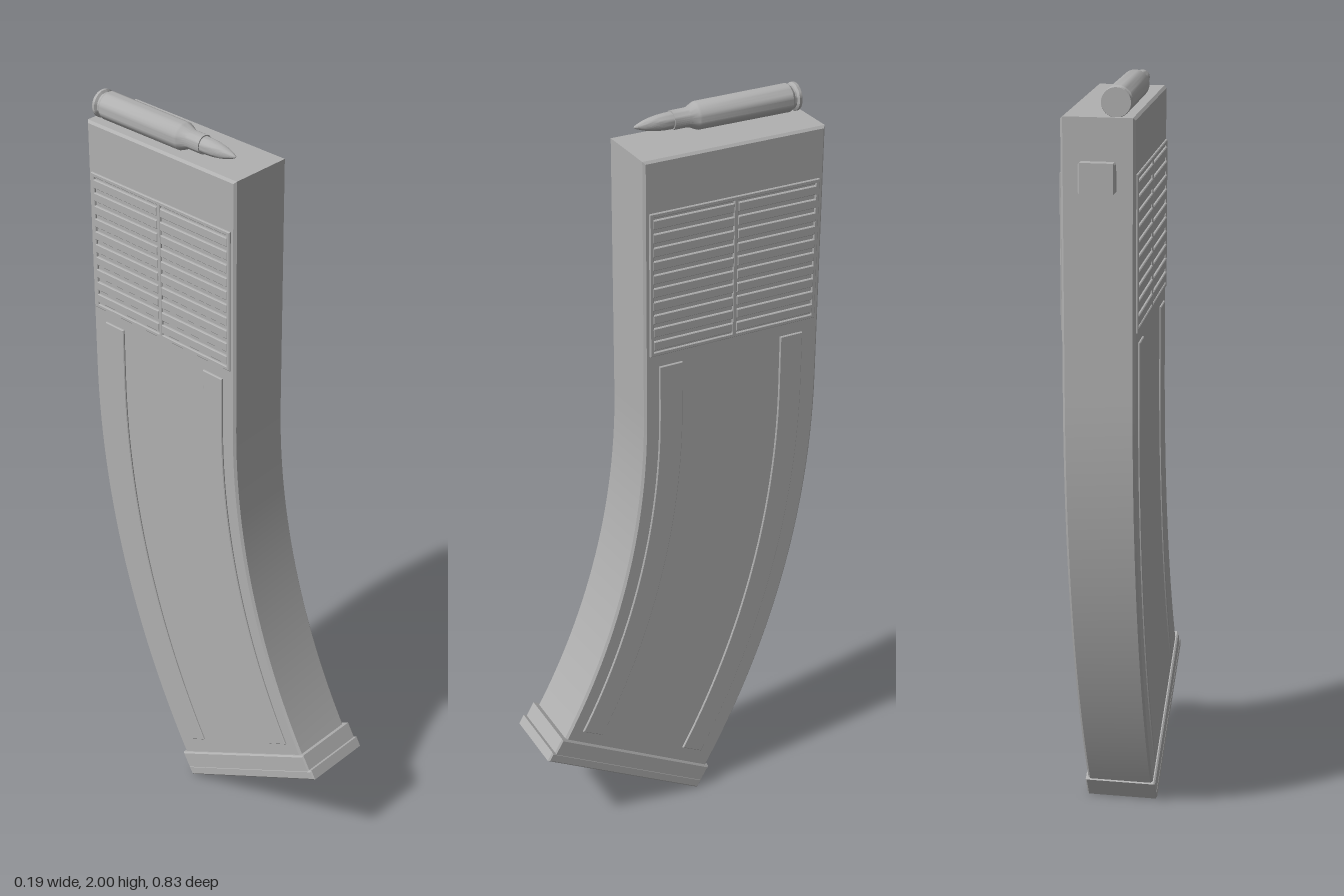
import * as THREE from 'three';
import { toCreasedNormals } from 'three/addons/utils/BufferGeometryUtils.js';

const steel = new THREE.MeshStandardMaterial({ color: 0xb0b0b0 });
steel.name = 'grey steel';

// Centre of the magazine's curve in the side plane (z, y)
const CZ = 1.98, CY = 1.24, END = Math.PI / 6;
const HALF = 0.089;

// Point at radius r, angle a below horizontal, and t further along the curve's tangent
const at = (r, a, t = 0) => new THREE.Vector2(
  CZ - r * Math.cos(a) + t * Math.sin(a),
  CY - r * Math.sin(a) - t * Math.cos(a));

function arc(r, a0, a1, n = 28) {
  return Array.from({ length: n + 1 }, (_, i) => at(r, a0 + (a1 - a0) * i / n));
}

// Extrudes a side outline (z, y) to the given full width, centred on x
function slab(name, points, width, bevel, holes = []) {
  const shape = new THREE.Shape(points);
  holes.forEach(h => shape.holes.push(new THREE.Path(h)));
  const geo = new THREE.ExtrudeGeometry(shape, {
    depth: width - 2 * bevel, bevelEnabled: bevel > 0, bevelThickness: bevel,
    bevelSize: bevel, bevelOffset: -bevel, bevelSegments: 1,
  });
  geo.translate(0, 0, bevel - width / 2);
  geo.rotateY(-Math.PI / 2);
  const mesh = new THREE.Mesh(toCreasedNormals(geo, 0.3), steel);
  mesh.name = name;
  return mesh;
}

const rect = (z0, z1, y0, y1) => [
  new THREE.Vector2(z0, y0), new THREE.Vector2(z1, y0),
  new THREE.Vector2(z1, y1), new THREE.Vector2(z0, y1)];

export function createModel() {
  const model = new THREE.Group();
  model.name = 'curvedMagazine';

  // Body: straight upper part running into a thirty degree arc
  model.add(slab('body', [
    new THREE.Vector2(0.11, 1.93), new THREE.Vector2(-0.39, 1.93),
    ...arc(2.37, 0, END), ...arc(1.87, END, 0)], HALF * 2, 0.006));

  // Stepped floor plate, square to the end of the arc
  const plate = (name, r0, r1, t0, t1, width) => model.add(slab(name,
    [at(r0, END, t0), at(r0, END, t1), at(r1, END, t1), at(r1, END, t0)], width, 0.004));
  plate('floorPlate', 1.855, 2.375, -0.012, 0.058, 0.192);
  plate('floorPlateLip', 1.845, 2.373, 0.032, 0.06, 0.194);

  // Raised details, repeated on both sides
  for (const side of [1, -1]) {
    const details = new THREE.Group();
    details.name = side > 0 ? 'leftDetails' : 'rightDetails';
    const place = (mesh, out) => {
      mesh.position.x = side * (HALF + out / 2 - 0.002);
      details.add(mesh);
    };

    // Curved stiffening ribs
    for (const [name, r0, r1] of [['frontRib', 1.91, 1.975], ['rearRib', 2.257, 2.322]]) {
      const top = r => new THREE.Vector2(CZ - r, 1.38);
      place(slab(name, [top(r0), top(r1),
        ...arc(r1, 0, 0.5), ...arc(r0, 0.5, 0)], 0.007, 0.002), 0.007);
    }

    // Grip panel frame with two windows
    place(slab('gripFrame', rect(-0.376, 0.096, 1.413, 1.796), 0.007, 0.002, [
      rect(-0.365, -0.147, 1.424, 1.785), rect(-0.135, 0.085, 1.424, 1.785)]), 0.007);

    // Grip slats
    const rows = 10, pitch = 0.361 / rows;
    for (let i = 0; i < rows; i++) {
      const y = 1.424 + pitch * (i + 0.5);
      for (const [z0, z1] of [[-0.368, -0.146], [-0.136, 0.088]]) {
        place(slab('gripSlat', rect(z0, z1, y - 0.012, y + 0.012), 0.008, 0.002), 0.008);
      }
    }
    model.add(details);
  }

  // Rear catch
  const catchMesh = slab('rearCatch', rect(-0.414, -0.38, 1.753, 1.827), 0.088, 0.004);
  model.add(catchMesh);

  // Cartridge lying on top, pointing forward
  const round = new THREE.Group();
  round.name = 'cartridge';
  const lathe = (name, pts) => {
    const geo = new THREE.LatheGeometry(pts.map(p => new THREE.Vector2(p[0], p[1])), 32);
    geo.rotateX(Math.PI / 2);
    const mesh = new THREE.Mesh(toCreasedNormals(geo, 0.5), steel);
    mesh.name = name;
    round.add(mesh);
  };
  lathe('casing', [[0, -0.38], [0.035, -0.38], [0.036, -0.378], [0.036, -0.372],
    [0.03, -0.368], [0.03, -0.363], [0.036, -0.355], [0.035, -0.1],
    [0.033, -0.095], [0.025, -0.078], [0.024, -0.072], [0.024, -0.032], [0, -0.032]]);
  lathe('bullet', [[0.021, -0.034], [0.021, -0.015], [0.0195, 0.005], [0.0165, 0.025],
    [0.012, 0.043], [0.006, 0.06], [0.0025, 0.067], [0, 0.069]]);
  round.position.set(-0.042, 1.964, 0);
  model.add(round);

  return model;
}
